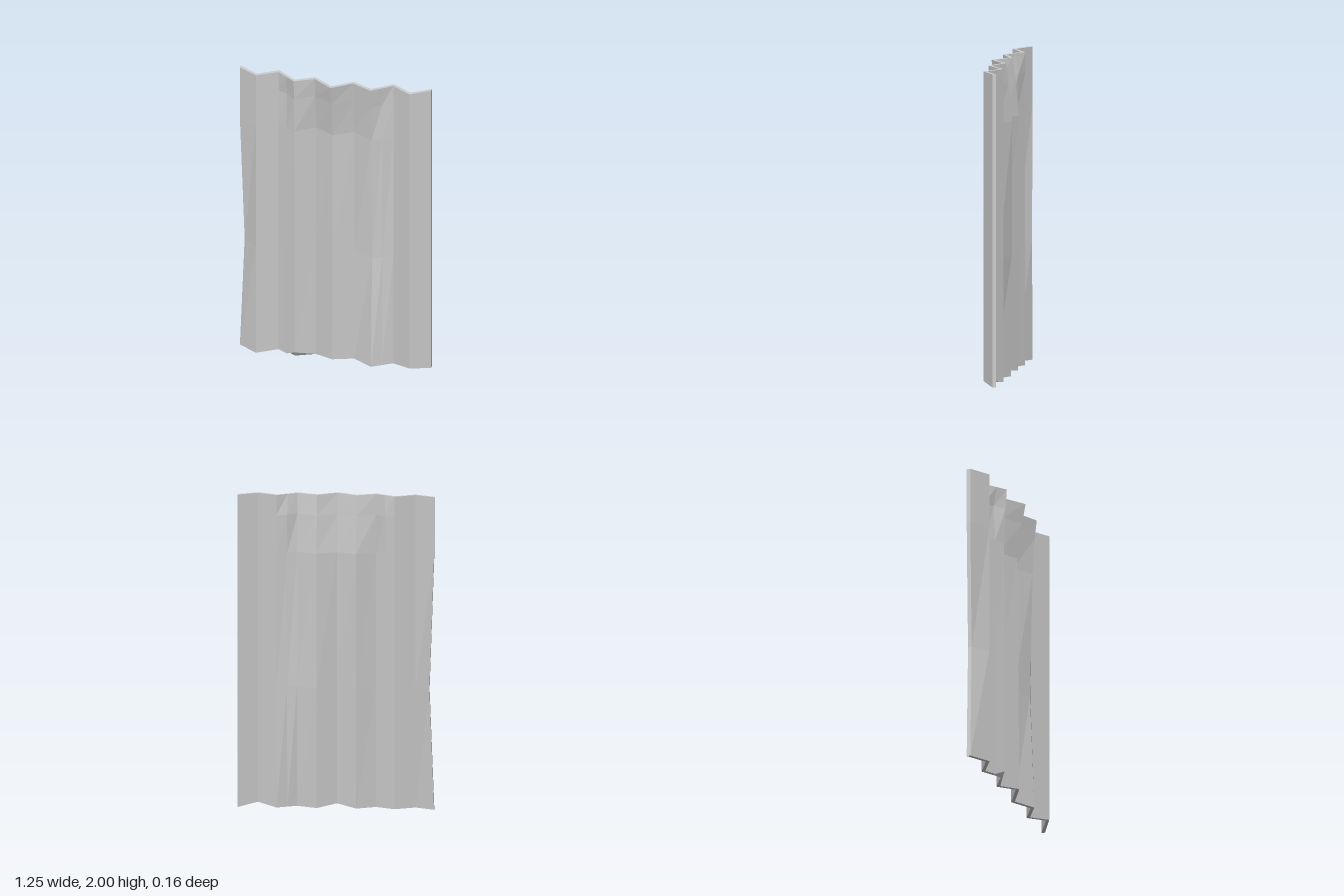
import * as THREE from 'three';

const THICKNESS = 0.025;
const ROWS = [0, 0.77, 1.63, 1.87, 2];
// Fold lines plus two half-way columns that carry small dents
const COLS = [-0.625, -0.5, -0.375, -0.31, -0.25, -0.13, -0.003, 0.12, 0.25, 0.31, 0.375, 0.5, 0.622];
const PEAKS = [-0.5, -0.25, -0.003, 0.25, 0.5];

// Depth offsets of bent columns, one value per row
const BENDS = {
  '-0.625': [0, -0.003, 0, 0, 0],
  '-0.31': [0, 0, 0, -0.01, 0.008],
  '-0.25': [0, 0, -0.002, 0.008, 0.016],
  '-0.13': [0, -0.006, -0.009, 0.016, 0.031],
  '-0.003': [0, -0.006, -0.014, 0.02, 0.043],
  '0.12': [0, -0.006, -0.009, 0.016, 0.031],
  '0.25': [0, -0.03, -0.012, 0.002, 0.016],
  '0.31': [0, -0.012, -0.004, -0.008, 0.008],
};

// Lifted spots along the bottom edge: [front, back]
const LIFTS = { '-0.25': [0.036, 0], '-0.003': [0.02, 0.02], '0.5': [0.022, 0.022] };

// Zigzag depth of the back surface
function foldDepth(x) {
  const d = Math.min(...PEAKS.map((p) => Math.abs(x - p)));
  return 0.01 - 0.08 * Math.min(1, d / 0.123);
}

function sheetPoint(c, r, back) {
  const x0 = COLS[c];
  let x = x0;
  if (c === 0 && r === 1) x += 0.03; // buckled side edge
  let y = ROWS[r];
  if (r === 0 && LIFTS[x0]) y = LIFTS[x0][back ? 1 : 0];
  const bend = BENDS[x0] ? BENDS[x0][r] : 0;
  return [x, y, foldDepth(x0) + bend + (back ? 0 : THICKNESS)];
}

export function createModel() {
  const group = new THREE.Group();
  group.name = 'corrugatedSheet';
  const metal = new THREE.MeshStandardMaterial({ color: 0xcccccc, flatShading: true });
  metal.name = 'grey metal';

  const positions = [];
  const quad = (a, b, c, d) => positions.push(...a, ...b, ...c, ...a, ...c, ...d);
  const nc = COLS.length - 1;
  const nr = ROWS.length - 1;
  const F = (c, r) => sheetPoint(c, r, false);
  const B = (c, r) => sheetPoint(c, r, true);

  // Front and back surfaces
  for (let c = 0; c < nc; c++) {
    for (let r = 0; r < nr; r++) {
      quad(F(c, r), F(c + 1, r), F(c + 1, r + 1), F(c, r + 1));
      quad(B(c + 1, r), B(c, r), B(c, r + 1), B(c + 1, r + 1));
    }
    // Top and bottom rims
    quad(F(c, nr), F(c + 1, nr), B(c + 1, nr), B(c, nr));
    quad(B(c, 0), B(c + 1, 0), F(c + 1, 0), F(c, 0));
  }
  // Side rims
  for (let r = 0; r < nr; r++) {
    quad(B(0, r), F(0, r), F(0, r + 1), B(0, r + 1));
    quad(F(nc, r), B(nc, r), B(nc, r + 1), F(nc, r + 1));
  }

  const geometry = new THREE.BufferGeometry();
  geometry.setAttribute('position', new THREE.Float32BufferAttribute(positions, 3));
  geometry.computeVertexNormals();
  const sheet = new THREE.Mesh(geometry, metal);
  sheet.name = 'foldedPanel';
  group.add(sheet);
  return group;
}
